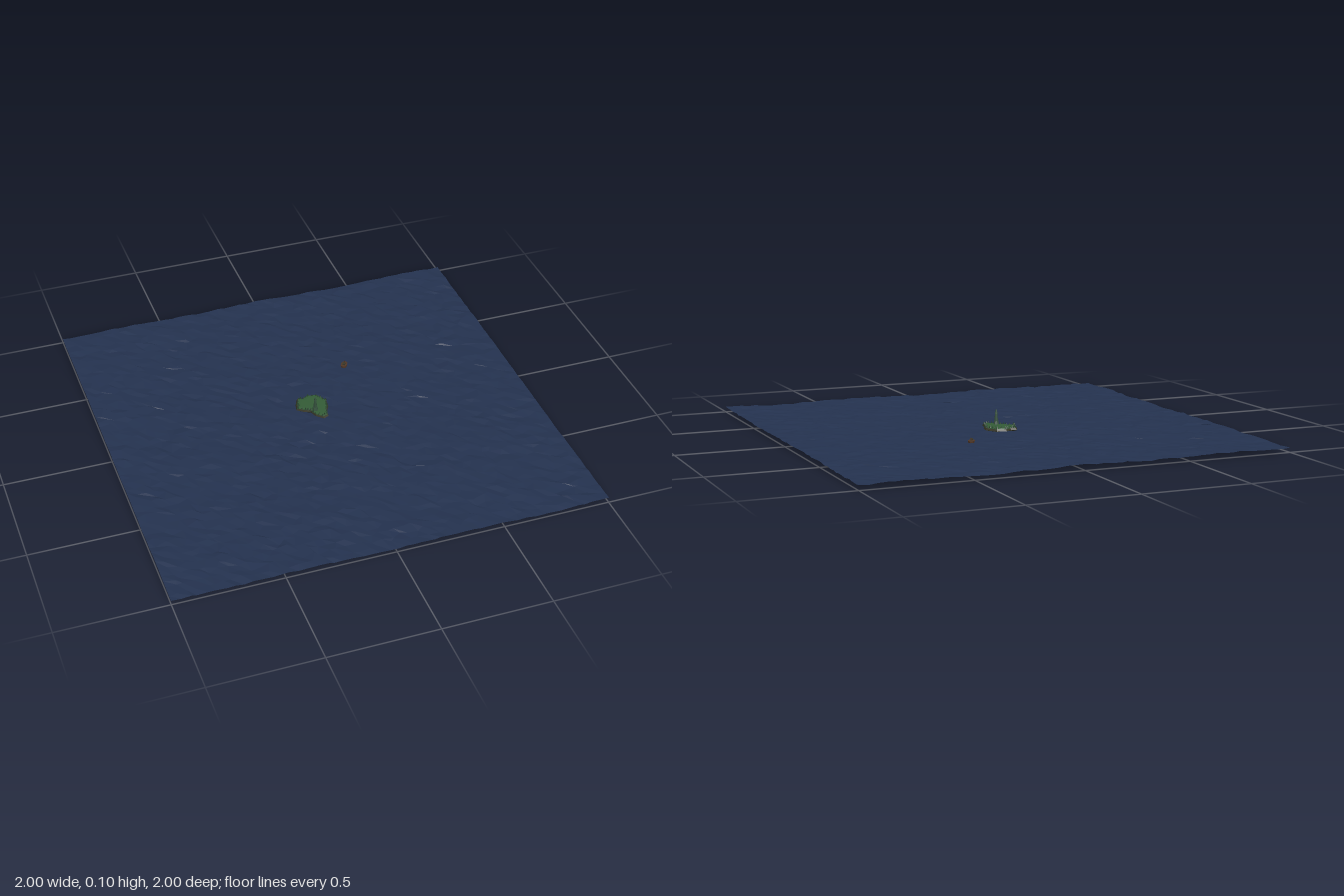
import * as THREE from 'three';

// Small seeded random generator
function seeded(seed) {
  return () => {
    seed = (seed * 1664525 + 1013904223) % 4294967296;
    return seed / 4294967296;
  };
}

// Island coast as [x, z], clockwise seen from above
const COAST = [
  [-0.07, -0.14], [-0.045, -0.132], [-0.015, -0.15], [0.03, -0.142], [0.045, -0.115],
  [0.062, -0.085], [0.056, -0.045], [0.038, -0.01], [0.032, 0.03], [0.005, 0.04],
  [-0.025, 0.01], [-0.038, -0.03], [-0.065, -0.04], [-0.095, -0.065], [-0.088, -0.1],
];
const MIDDLE = [-0.012, -0.06];

// Stacks scaled copies of an outline, [scale, y] each, and closes the top and bottom
function mound(outline, middle, levels) {
  const n = outline.length, pos = [], index = [];
  for (const [s, y] of levels) {
    for (const [x, z] of outline) {
      pos.push(middle[0] + (x - middle[0]) * s, y, middle[1] + (z - middle[1]) * s);
    }
  }
  const last = (levels.length - 1) * n, top = levels.length * n, bottom = top + 1;
  pos.push(middle[0], levels[levels.length - 1][1] + 0.001, middle[1]);
  pos.push(middle[0], levels[0][1], middle[1]);
  for (let i = 0; i < n; i++) {
    const j = (i + 1) % n;
    for (let k = 0; k < last; k += n) {
      index.push(k + j, k + i, k + n + i, k + j, k + n + i, k + n + j);
    }
    index.push(top, last + j, last + i, bottom, i, j);
  }
  const geo = new THREE.BufferGeometry();
  geo.setAttribute('position', new THREE.Float32BufferAttribute(pos, 3));
  geo.setIndex(index);
  const flat = geo.toNonIndexed();
  flat.computeVertexNormals();
  return flat;
}

// Choppy sheet of water
function seaGeometry(rand) {
  const cells = 50, step = 2 / cells;
  const plane = new THREE.PlaneGeometry(2, 2, cells, cells).rotateX(-Math.PI / 2).rotateY(Math.PI / 2);
  const p = plane.attributes.position;
  for (let i = 0; i < p.count; i++) {
    const x = p.getX(i), z = p.getZ(i);
    const swell = 0.0018 * Math.sin(9 * x + 5 * z) + 0.0012 * Math.sin(17 * z - 8 * x);
    p.setY(i, 0.022 + swell + (rand() - 0.5) * 0.007);
    const dx = (rand() - 0.5) * step * 0.7, dz = (rand() - 0.5) * step * 0.7;
    if (Math.abs(x) < 0.999) p.setX(i, x + dx);
    if (Math.abs(z) < 0.999) p.setZ(i, z + dz);
  }
  const flat = plane.toNonIndexed();
  flat.computeVertexNormals();
  return flat;
}

export function createModel() {
  const group = new THREE.Group();
  const rand = seeded(11);
  const material = (name, color) => {
    const m = new THREE.MeshStandardMaterial({ color, flatShading: true });
    m.name = name;
    return m;
  };
  const water = material('water', 0x24324f);
  water.side = THREE.DoubleSide;
  const grass = material('grass', 0x345c37);
  const foliage = material('foliage', 0x24402a);
  const earth = material('earth', 0x39392a);
  const stone = material('stone', 0x34503c);
  const wood = material('wood', 0x4f3626);

  const add = (name, geo, mat, x = 0, y = 0, z = 0, parent = group) => {
    const mesh = new THREE.Mesh(geo, mat);
    mesh.name = name;
    mesh.position.set(x, y, z);
    parent.add(mesh);
    return mesh;
  };

  add('sea', seaGeometry(rand), water);

  // Island: earthy shore with a grassy top
  add('shore', mound(COAST, MIDDLE, [[0.85, 0.014], [1, 0.022], [0.95, 0.031]]), earth);
  add('grassTop', mound(COAST, MIDDLE, [[0.93, 0.029], [0.9, 0.034], [0.7, 0.036]]), grass);

  // Bushes around the coast
  const bushes = new THREE.Group();
  bushes.name = 'bushes';
  group.add(bushes);
  const bushGeo = new THREE.ConeGeometry(0.006, 0.014, 5);
  COAST.forEach(([x, z], i) => {
    const [nx, nz] = COAST[(i + 1) % COAST.length];
    for (const t of [0, 0.5]) {
      const s = 0.84 + rand() * 0.08;
      const bx = MIDDLE[0] + (x + (nx - x) * t - MIDDLE[0]) * s;
      const bz = MIDDLE[1] + (z + (nz - z) * t - MIDDLE[1]) * s;
      const bush = add('bush', bushGeo, foliage, bx, 0.039, bz, bushes);
      bush.scale.setScalar(0.65 + rand() * 0.5);
      bush.rotation.y = rand() * 6;
    }
  });

  // Tall slender tower
  const tower = new THREE.Group();
  tower.name = 'tower';
  tower.position.set(-0.016, 0, -0.025);
  group.add(tower);
  add('towerBase', new THREE.CylinderGeometry(0.011, 0.015, 0.018, 8), stone, 0, 0.042, 0, tower);
  add('towerShaft', new THREE.CylinderGeometry(0.0065, 0.0085, 0.036, 8), stone, 0, 0.069, 0, tower);
  add('towerTop', new THREE.CylinderGeometry(0.003, 0.0065, 0.018, 8), stone, 0, 0.096, 0, tower);

  // Small boat off the back right
  const boat = new THREE.Group();
  boat.name = 'boat';
  boat.position.set(0.238, 0, -0.332);
  boat.rotation.y = -0.6;
  group.add(boat);
  const hull = [[0, -0.026], [0.012, -0.016], [0.016, 0], [0.012, 0.018], [0, 0.022],
    [-0.012, 0.018], [-0.016, 0], [-0.012, -0.016]];
  add('hull', mound(hull, [0, 0], [[0.7, 0], [0.9, 0.012], [1, 0.03]]), wood, 0, 0, 0, boat);
  add('cabin', new THREE.BoxGeometry(0.012, 0.008, 0.014), earth, 0, 0.034, 0.004, boat);
  add('mast', new THREE.CylinderGeometry(0.0015, 0.002, 0.014, 5), wood, 0, 0.038, -0.008, boat);

  return group;
}
